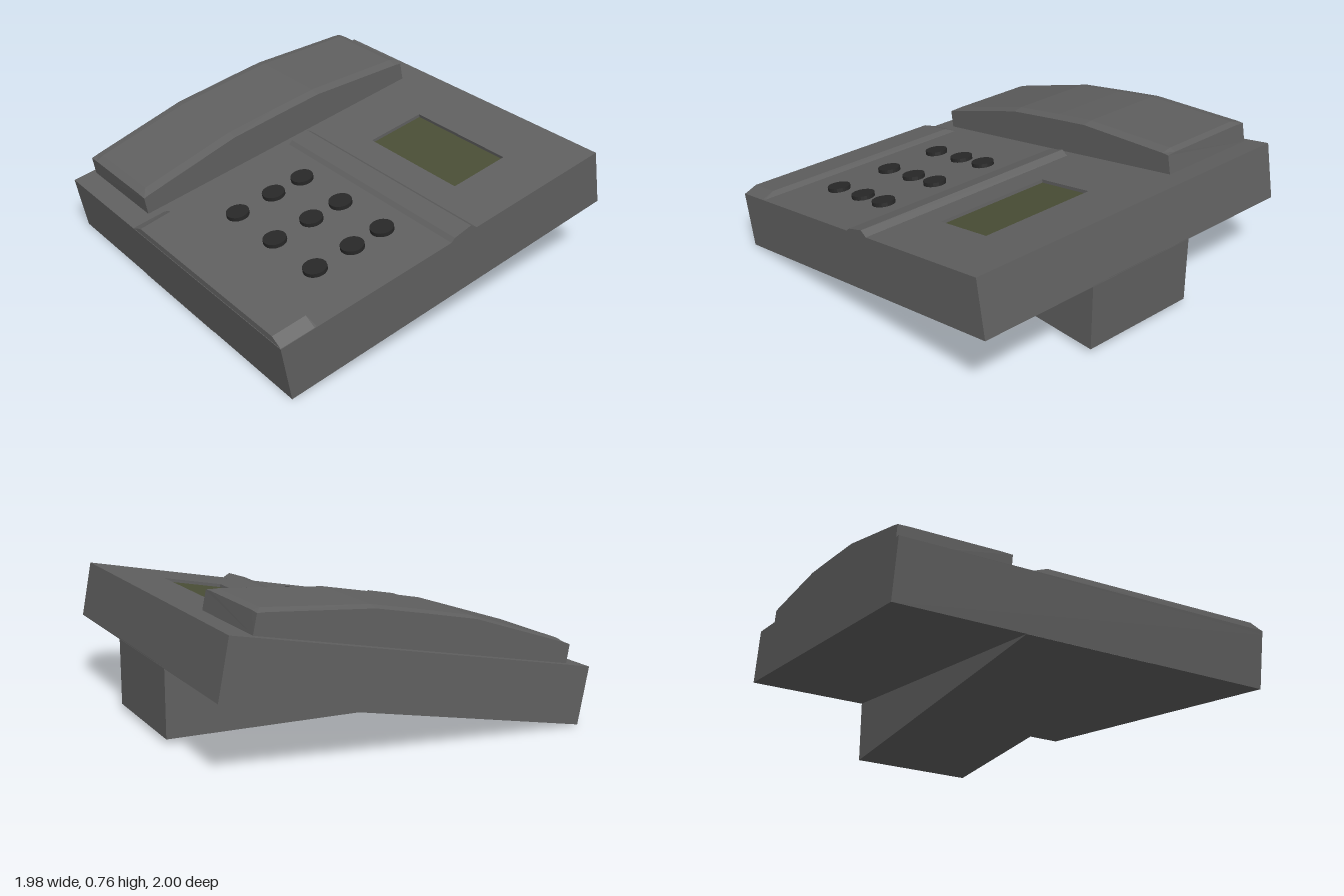
import * as THREE from 'three';

const TILT = 0.19;
const mat = (color) => new THREE.MeshStandardMaterial({ color, flatShading: true });

// Height of the sloping deck at depth z
const deck = (z) => 0.3 + 0.1928 * (1 - z);

// Skin a list of rings (counter-clockwise seen from the front, ordered front to back)
function loft(rings) {
  const pos = [];
  const tri = (...pts) => pts.forEach((p) => pos.push(...p));
  const n = rings[0].length;
  for (let i = 0; i < rings.length - 1; i++) {
    for (let j = 0; j < n; j++) {
      const k = (j + 1) % n;
      const a = rings[i][j], b = rings[i][k], c = rings[i + 1][k], d = rings[i + 1][j];
      tri(a, d, c);
      tri(a, c, b);
    }
  }
  const first = rings[0], last = rings[rings.length - 1];
  for (let j = 1; j < n - 1; j++) {
    tri(first[0], first[j], first[j + 1]);
    tri(last[0], last[j + 1], last[j]);
  }
  const g = new THREE.BufferGeometry();
  g.setAttribute('position', new THREE.Float32BufferAttribute(pos, 3));
  g.computeVertexNormals();
  return g;
}

// Four-sided ring with separate bottom and top widths
const ring = (z, x0, x1, y0, t0, t1, y1) => [[x0, y0, z], [x1, y0, z], [t1, y1, z], [t0, y1, z]];

export function createModel() {
  const model = new THREE.Group();
  const grey = mat(0x606060);
  const add = (parent, name, geometry, material = grey) => {
    const mesh = new THREE.Mesh(geometry, material);
    mesh.name = name;
    parent.add(mesh);
    return mesh;
  };

  // Tilted base with everything that lies square on its deck
  const base = new THREE.Group();
  base.name = 'base';
  base.position.y = 0.341;
  base.rotation.x = TILT;
  model.add(base);

  add(base, 'body', new THREE.BoxGeometry(1.98, 0.28, 1.98)).position.y = -0.01;

  // Thin deck plate with the display opening
  const plate = new THREE.Shape();
  plate.moveTo(-0.99, -0.99).lineTo(0.99, -0.99).lineTo(0.99, 0.99).lineTo(-0.99, 0.99).closePath();
  const hole = new THREE.Path();
  hole.moveTo(0, 0.329).lineTo(0, 0.665).lineTo(0.66, 0.665).lineTo(0.66, 0.329).closePath();
  plate.holes.push(hole);
  const deckPlate = add(base, 'deckPlate', new THREE.ExtrudeGeometry(plate, { depth: 0.02, bevelEnabled: false }));
  deckPlate.rotation.x = -Math.PI / 2;
  deckPlate.position.y = 0.13;

  // Display at the bottom of the opening
  const display = add(base, 'display', new THREE.BoxGeometry(0.66, 0.01, 0.336), mat(0x4a4e36));
  display.position.set(0.33, 0.128, -0.497);

  // Keypad
  const black = mat(0x282828);
  const keyShape = new THREE.CylinderGeometry(0.06, 0.06, 0.04, 24);
  for (const z of [0.144, 0.328, 0.553]) {
    for (const x of [0, 0.33, 0.66]) {
      add(base, 'key', keyShape, black).position.set(x, 0.151, z);
    }
  }

  // Wedge foot under the base
  add(model, 'foot', loft([
    ring(0.945, -0.333, 0.333, 0.005, -0.333, 0.333, 0.006),
    ring(-1, -0.333, 0.333, 0.03, -0.333, 0.333, 0.386),
  ]));

  // Raised step between keypad and display
  add(model, 'step', loft([[0.02, 0.001], [0, 0.017], [-0.1, 0.031], [-0.138, 0.001]].map(
    ([z, h]) => ring(z, -0.33, 0.99, deck(z) - 0.02, -0.33, 0.99, deck(z) + h))));

  // Raised front rest with sloping ends
  add(model, 'frontRest', loft([
    ring(0.998, -0.33, 0.99, 0.3, -0.25, 0.92, 0.331),
    ring(0.815, -0.33, 0.99, deck(0.815), -0.26, 0.92, deck(0.815) + 0.031),
    ring(0.8, -0.33, 0.99, deck(0.8) - 0.005, -0.32, 0.98, deck(0.8) + 0.001),
  ]));

  // Arched handset: depth at top, shoulder height, crown height, depth at bottom
  const x0 = -0.955, x1 = -0.375, inset = 0.055;
  const stations = [
    [0.9, 0.42, 0.422, 0.883],
    [0.86, 0.435, 0.446, 0.85],
    [0.34, 0.606, 0.615, 0.34],
    [0.03, 0.667, 0.677, 0.03],
    [-0.21, 0.712, 0.722, -0.21],
    [-0.76, 0.75, 0.762, -0.77],
    [-0.798, 0.75, 0.754, -0.818],
  ];
  add(model, 'handset', loft(stations.map(([z, shoulder, crown, zb]) => [
    [x0, deck(zb) + 0.002, zb], [x1, deck(zb) + 0.002, zb],
    [x1, shoulder, z], [x1 - inset, crown, z],
    [x0 + inset, crown, z], [x0, shoulder, z],
  ])));

  return model;
}
